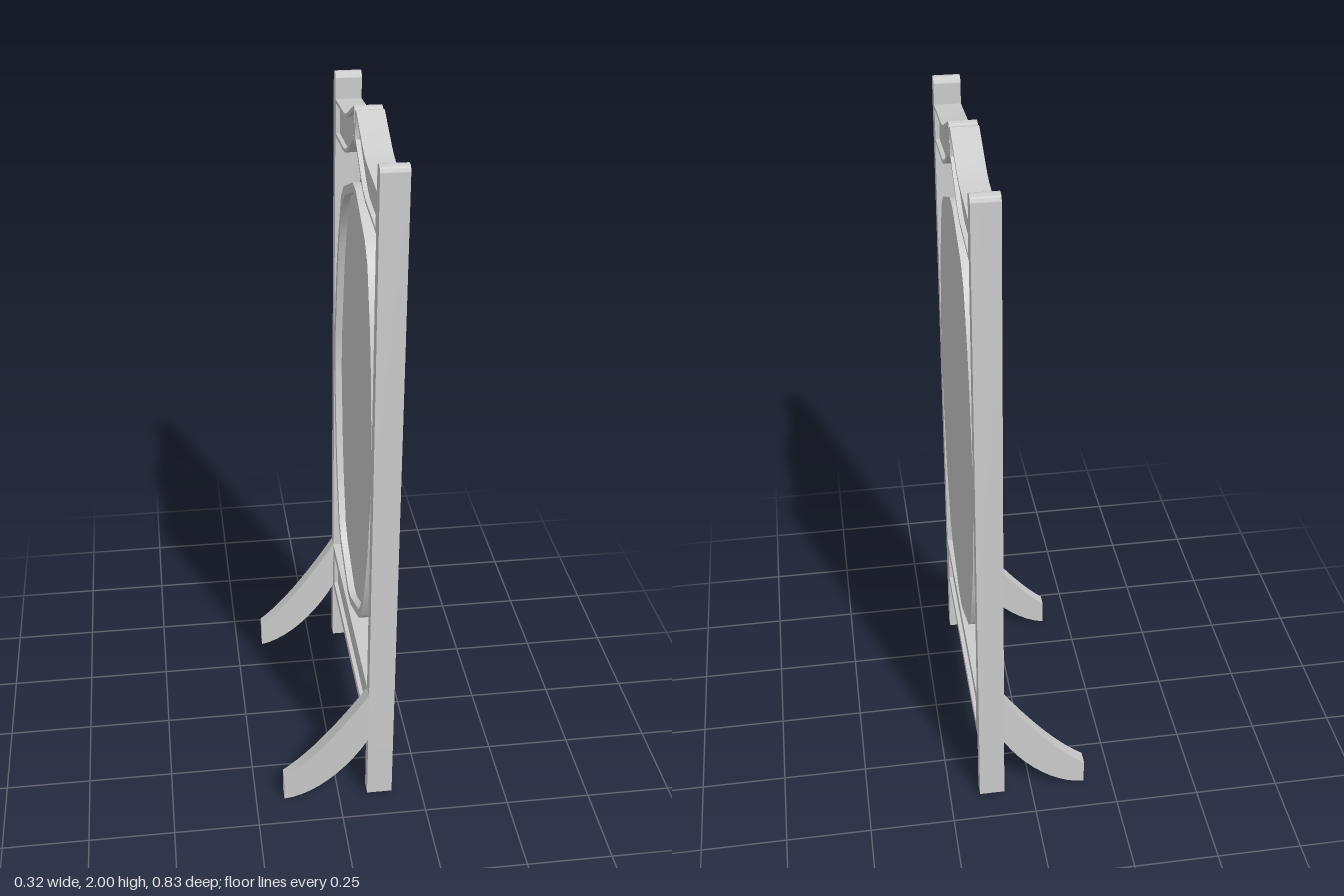
import * as THREE from 'three';
import { toCreasedNormals } from 'three/addons/utils/BufferGeometryUtils.js';

const X0 = 0.085, X1 = 0.16, POST_IN = 0.376, POST_OUT = 0.416;
const material = new THREE.MeshStandardMaterial({ color: 0xcccccc });

const toVectors = (pts) => pts.map(([a, b]) => new THREE.Vector2(a, b));
const mirrorZ = (pts) => pts.map(([z, y]) => [-z, y]).reverse();

function addMesh(parent, name, geometry) {
  const mesh = new THREE.Mesh(toCreasedNormals(geometry, 0.55), material);
  mesh.name = name;
  parent.add(mesh);
}

// Extrude a (z, y) shape along x between two x positions
function slab(shape, xa, xb) {
  const geo = new THREE.ExtrudeGeometry(shape, { depth: xb - xa, bevelEnabled: false, curveSegments: 8 });
  return geo.rotateY(-Math.PI / 2).translate(xb, 0, 0);
}

// Move every edge of a counter-clockwise outline inward by d
function inset(pts, d) {
  const n = pts.length;
  const normal = (a, b) => {
    const l = Math.hypot(b[0] - a[0], b[1] - a[1]);
    return [-(b[1] - a[1]) / l, (b[0] - a[0]) / l];
  };
  return pts.map((p, i) => {
    const u = normal(pts[(i + n - 1) % n], p), v = normal(p, pts[(i + 1) % n]);
    const k = d / (1 + u[0] * v[0] + u[1] * v[1]);
    return [p[0] + (u[0] + v[0]) * k, p[1] + (u[1] + v[1]) * k];
  });
}

// A raised border around a thinner panel
function framedPanel(parent, name, outline, border, backRecess, frontRecess) {
  const group = new THREE.Group();
  group.name = name;
  const inner = inset(outline, border);
  const frame = new THREE.Shape(toVectors(outline));
  frame.holes.push(new THREE.Path(toVectors(inner)));
  addMesh(group, 'border', slab(frame, X0, X1));
  addMesh(group, 'panel', slab(new THREE.Shape(toVectors(inner)), X0 + backRecess, X1 - frontRecess));
  parent.add(group);
}

export function createModel() {
  const model = new THREE.Group();
  model.name = 'standingMirror';

  // Posts with rounded tops
  const post = new THREE.Shape();
  const r = 0.016, top = 1.985;
  post.moveTo(POST_IN, 0.01);
  post.lineTo(POST_OUT, 0.01);
  post.lineTo(POST_OUT, top - r);
  post.absarc(POST_OUT - r, top - r, r, 0, Math.PI / 2);
  post.lineTo(POST_IN + r, top);
  post.absarc(POST_IN + r, top - r, r, Math.PI / 2, Math.PI);
  post.closePath();
  addMesh(model, 'leftPost', slab(post, X0, X1));
  addMesh(model, 'rightPost', slab(post, X0, X1).translate(0, 0, -POST_IN - POST_OUT));

  // Curved rear feet, leaning slightly inward toward the tip
  const foot = new THREE.Shape();
  foot.moveTo(X0, 0.22);
  foot.lineTo(X0, 0.385);
  foot.quadraticCurveTo(-0.06, 0.16, -0.165, 0.08);
  foot.lineTo(-0.165, 0);
  foot.bezierCurveTo(-0.08, 0.01, 0.02, 0.1, X0, 0.22);
  for (const side of [1, -1]) {
    const geo = new THREE.ExtrudeGeometry(foot, { depth: 0.04, bevelEnabled: false, curveSegments: 10 });
    geo.translate(0, 0, side > 0 ? POST_IN : -POST_OUT);
    const p = geo.attributes.position;
    for (let i = 0; i < p.count; i++) p.setZ(i, p.getZ(i) + side * 0.064 * (p.getX(i) - X0));
    addMesh(model, side > 0 ? 'leftFoot' : 'rightFoot', geo);
  }

  // Bottom rail, panelled on both faces
  framedPanel(model, 'bottomRail',
    [[-POST_IN, 0.22], [POST_IN, 0.22], [POST_IN, 0.385], [-POST_IN, 0.385]], 0.028, 0.012, 0.012);

  // Oval mirror: flat on one face, rimmed on the other
  const cy = 1.11;
  const quarter = [[0.376, 0.055], [0.334, 0.304], [0.307, 0.404], [0.25, 0.556], [0.2, 0.603], [0.03, 0.677]];
  const upper = [...quarter, ...mirrorZ(quarter)];
  const oval = [...upper, ...upper.map(([z, y]) => [-z, -y])].map(([z, y]) => [z, y + cy]);
  framedPanel(model, 'ovalMirror', oval, 0.026, 0.02, 0);

  // Crest rail in two mirrored swept halves meeting at the centre
  const crest = [
    [0.001, 1.905], [0.02, 1.911], [0.125, 1.843], [0.16, 1.826], [0.195, 1.815], [POST_IN, 1.802],
    [POST_IN, 1.91], [0.2, 1.924], [0.17, 1.932], [0.135, 1.946], [0.022, 2], [0.01, 1.998], [0.001, 1.982],
  ];
  framedPanel(model, 'leftCrest', crest, 0.01, 0.012, 0.012);
  framedPanel(model, 'rightCrest', mirrorZ(crest), 0.01, 0.012, 0.012);

  return model;
}
